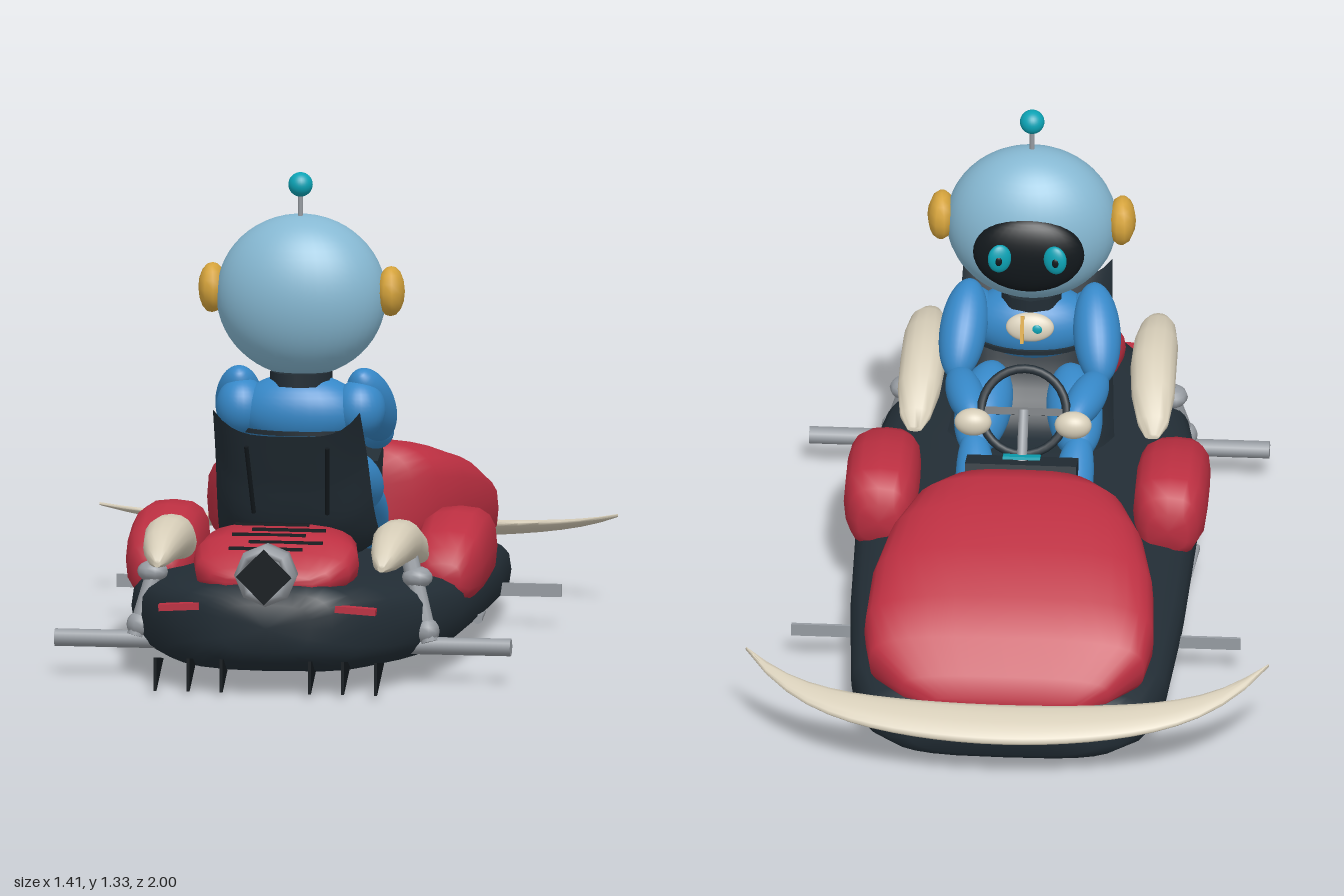
import * as THREE from 'three';
import { toCreasedNormals } from 'three/addons/utils/BufferGeometryUtils.js';
import { ParametricGeometry } from 'three/addons/geometries/ParametricGeometry.js';

const V = (x, y, z) => new THREE.Vector3(x, y, z);

// Closed body through rounded sections [z, centreX, halfWidth, bottomY, topY]; power < 1 is boxier
function loft(sections, power = 0.7, sides = 20, crease = 0.8) {
  const pos = [], idx = [];
  const bend = (v) => Math.sign(v) * Math.abs(v) ** power;
  for (const [z, cx, hw, y0, y1] of sections) {
    for (let j = 0; j < sides; j++) {
      const a = (j / sides) * Math.PI * 2;
      pos.push(cx + hw * bend(Math.cos(a)), (y0 + y1) / 2 + ((y1 - y0) / 2) * bend(Math.sin(a)), z);
    }
  }
  const n = sections.length;
  for (const [z, cx, , y0, y1] of [sections[0], sections[n - 1]]) pos.push(cx, (y0 + y1) / 2, z);
  for (let j = 0; j < sides; j++) {
    const k = (j + 1) % sides;
    for (let i = 0; i < n - 1; i++) {
      const a = i * sides + j, b = i * sides + k;
      idx.push(a, b, a + sides, b, b + sides, a + sides);
    }
    idx.push(n * sides, k, j, n * sides + 1, (n - 1) * sides + j, (n - 1) * sides + k);
  }
  const g = new THREE.BufferGeometry();
  g.setAttribute('position', new THREE.Float32BufferAttribute(pos, 3));
  g.setIndex(idx);
  return toCreasedNormals(g, crease);
}

export function createModel() {
  const model = new THREE.Group();
  model.name = 'hoverKartWithRobot';
  const mat = (name, color, side = THREE.FrontSide) => {
    const m = new THREE.MeshStandardMaterial({ color, side });
    m.name = name;
    return m;
  };
  const charcoal = mat('charcoal', 0x222d35, THREE.DoubleSide), black = mat('black', 0x12181c, THREE.DoubleSide);
  const red = mat('red', 0xbc2f41), cream = mat('cream', 0xd6cdb8), blue = mat('blue', 0x3688c8);
  const paleBlue = mat('paleBlue', 0x86b8d2), teal = mat('teal', 0x0ca3b5);
  const yellow = mat('yellow', 0xd6a43c), grey = mat('grey', 0x969ba1);

  const add = (name, geo, m, x = 0, y = 0, z = 0) => {
    const mesh = new THREE.Mesh(geo, m);
    mesh.name = name;
    mesh.position.set(x, y, z);
    model.add(mesh);
    return mesh;
  };
  const ball = (name, m, x, y, z, rx, ry = rx, rz = rx, w = 28, h = 20) => {
    const mesh = add(name, new THREE.SphereGeometry(1, w, h), m, x, y, z);
    mesh.scale.set(rx, ry, rz);
    return mesh;
  };
  const aim = (mesh, a, b) => {
    mesh.position.copy(a).lerp(b, 0.5);
    mesh.quaternion.setFromUnitVectors(V(0, 1, 0), b.clone().sub(a).normalize());
    return mesh;
  };
  const rod = (name, m, a, b, r, r2 = r) => aim(add(name, new THREE.CylinderGeometry(r2, r, a.distanceTo(b), 10), m), a, b);
  const limb = (name, m, a, b, r) => aim(ball(name, m, 0, 0, 0, r, a.distanceTo(b) / 2, r), a, b);

  // Hull, bonnet and engine cover
  add('hull', loft([
    [-0.86, 0, 0.26, 0.03, 0.17], [-0.84, 0, 0.32, 0.01, 0.19], [-0.78, 0, 0.38, 0.0, 0.2], [-0.65, 0, 0.425, 0.005, 0.215],
    [-0.3, 0, 0.45, 0.025, 0.235], [0.1, 0, 0.46, 0.04, 0.25], [0.4, 0, 0.45, 0.035, 0.27], [0.6, 0, 0.41, 0.035, 0.285],
    [0.8, 0, 0.33, 0.045, 0.3], [0.9, 0, 0.25, 0.06, 0.3], [0.95, 0, 0.18, 0.09, 0.28], [0.97, 0, 0.12, 0.12, 0.25],
  ], 0.6, 28), charcoal);
  add('bonnet', loft([
    [-0.85, 0, 0.2, 0.15, 0.2], [-0.82, 0, 0.28, 0.15, 0.25], [-0.75, 0, 0.37, 0.15, 0.33], [-0.65, 0, 0.39, 0.15, 0.4],
    [-0.5, 0, 0.38, 0.16, 0.465], [-0.35, 0, 0.345, 0.18, 0.505], [-0.23, 0, 0.29, 0.2, 0.52], [-0.17, 0, 0.23, 0.22, 0.51],
    [-0.15, 0, 0.17, 0.26, 0.48],
  ], 0.6, 32, 1), red);
  add('engineCover', loft([
    [0.66, 0, 0.18, 0.26, 0.41], [0.69, 0, 0.21, 0.26, 0.43], [0.77, 0, 0.225, 0.26, 0.41], [0.84, 0, 0.21, 0.26, 0.375],
    [0.89, 0, 0.165, 0.27, 0.34], [0.91, 0, 0.12, 0.28, 0.32],
  ], 0.65, 24, 1), red);
  [[0.71, 0.43], [0.74, 0.42], [0.77, 0.41], [0.8, 0.395], [0.83, 0.381]].forEach(([z, y], i) =>
    add('ventSlot', new THREE.BoxGeometry(0.2, 0.008, 0.009), black, i % 2 ? 0.03 : -0.02, y, z));

  // Exhaust: flared pipe, rim and dark opening
  rod('exhaustPipe', grey, V(0, 0.33, 0.83), V(0, 0.33, 0.93), 0.035, 0.07);
  const rim = add('exhaustRim', new THREE.LatheGeometry(
    [[0.045, 0.92], [0.082, 0.92], [0.085, 0.97], [0.072, 1.0], [0.058, 0.995], [0.05, 0.95]].map((p) => new THREE.Vector2(...p)), 8), grey, 0, 0.33);
  rim.rotation.x = Math.PI / 2;
  add('exhaustOpening', new THREE.CircleGeometry(0.076, 4), black, 0, 0.33, 1.0);

  // Swept bumper blade: crescent in plan, rising toward its tips
  const blade = [];
  for (let i = -12; i <= 12; i++) {
    const t = i / 12, outer = 1 - 0.15 * t * t - 0.13 * t ** 6;
    const half = 0.003 + 0.058 * (1 - t * t) ** 0.7, thick = 0.004 + 0.018 * (1 - t * t);
    blade.push([t * 0.705, outer - half, half, 0.15 - thick, 0.15 + thick]);
  }
  const bumper = loft(blade, 1, 14, 1.2).rotateY(Math.PI / 2);
  const p = bumper.attributes.position;
  for (let i = 0; i < p.count; i++) p.setY(i, p.getY(i) + (p.getZ(i) + 1) * 0.36);
  bumper.computeVertexNormals();
  add('bumper', toCreasedNormals(bumper, 1.2), cream);

  // Seat shell with curled sides and a dipped top edge
  const line = new THREE.CatmullRomCurve3([V(0, 0.28, 0.28), V(0, 0.29, 0.39), V(0, 0.37, 0.48), V(0, 0.52, 0.54), V(0, 0.65, 0.59)]);
  add('seat', new ParametricGeometry((u, v, out) => {
    const s = u * 2 - 1, c = line.getPoint(v), e = s ** 4;
    out.set(s * (0.225 - 0.025 * v), c.y + 0.07 * e, c.z - 0.055 * e * Math.sin(v * Math.PI));
  }, 16, 16), charcoal);
  for (const s of [-1, 1]) rod('seatSeam', black, V(s * 0.11, 0.62, 0.585), V(s * 0.1, 0.43, 0.515), 0.006);

  // Dashboard and steering
  const dash = add('dashboard', new THREE.BoxGeometry(0.3, 0.13, 0.1), charcoal, 0, 0.44, -0.13);
  dash.rotation.x = 0.3;
  const display = add('display', new THREE.BoxGeometry(0.1, 0.008, 0.05), teal, 0, 0.512, -0.105);
  display.rotation.x = 0.3;
  rod('steeringColumn', grey, V(0, 0.46, -0.13), V(0, 0.61, -0.025), 0.014);
  const wheel = add('steeringWheel', new THREE.TorusGeometry(0.115, 0.012, 10, 32), charcoal, 0, 0.605, -0.025);
  wheel.rotation.x = 0.57;
  const spoke = add('wheelSpoke', new THREE.BoxGeometry(0.22, 0.02, 0.012), charcoal, 0, 0.605, -0.025);
  spoke.rotation.x = 0.57;

  // Driver: head, torso and badge
  ball('head', paleBlue, 0, 0.995, 0.32, 0.23, 0.22, 0.165, 40, 28);
  ball('visor', black, 0, 0.975, 0.185, 0.15, 0.115, 0.055);
  rod('antenna', grey, V(0, 1.2, 0.335), V(0, 1.28, 0.335), 0.007);
  ball('antennaTip', teal, 0, 1.298, 0.335, 0.033);
  rod('neck', charcoal, V(0, 0.755, 0.325), V(0, 0.79, 0.325), 0.085);
  ball('torso', blue, 0, 0.68, 0.33, 0.17, 0.105, 0.1);
  const belt = add('belt', new THREE.CylinderGeometry(1, 1, 0.012, 28), charcoal, 0, 0.632, 0.33);
  belt.scale.set(0.16, 1, 0.1);
  const badge = ball('chestBadge', cream, 0, 0.71, 0.24, 0.065, 0.04, 0.02);
  badge.rotation.x = 0.35;
  add('badgeStripe', new THREE.BoxGeometry(0.01, 0.075, 0.009), yellow, 0.02, 0.712, 0.22).rotation.x = 0.35;
  ball('badgeLight', teal, -0.02, 0.712, 0.223, 0.014, 0.014, 0.006);

  // Mirrored parts
  const finShape = new THREE.Shape([[-0.97, 0.1], [-0.97, 0.01], [-0.84, 0.08]].map((q) => new THREE.Vector2(...q)));
  for (const s of [-1, 1]) {
    // Face and limbs
    const eye = ball('eye', teal, s * 0.075, 0.99, 0.128, 0.032, 0.042, 0.018);
    eye.rotation.y = s * 0.25;
    ball('pupil', black, s * 0.077, 0.99, 0.112, 0.01, 0.014, 0.005);
    ball('ear', yellow, s * 0.243, 1.01, 0.315, 0.038, 0.068, 0.068, 10, 8);
    ball('shoulder', blue, s * 0.16, 0.69, 0.33, 0.07, 0.08, 0.075);
    limb('upperArm', blue, V(s * 0.165, 0.79, 0.35), V(s * 0.195, 0.59, 0.15), 0.064);
    limb('forearm', blue, V(s * 0.195, 0.6, 0.19), V(s * 0.13, 0.587, -0.05), 0.05);
    ball('hand', cream, s * 0.135, 0.585, -0.055, 0.05, 0.038, 0.035);
    limb('thigh', blue, V(s * 0.1, 0.54, 0.33), V(s * 0.145, 0.41, 0.07), 0.075);
    limb('shin', blue, V(s * 0.145, 0.46, 0.13), V(s * 0.11, 0.24, -0.19), 0.056);

    // Side pods and rear fenders
    add('sidePod', loft([
      [-0.07, s * 0.39, 0.055, 0.21, 0.32], [-0.045, s * 0.39, 0.08, 0.18, 0.36], [0.02, s * 0.39, 0.098, 0.17, 0.385],
      [0.15, s * 0.39, 0.1, 0.16, 0.39], [0.27, s * 0.39, 0.095, 0.16, 0.355], [0.34, s * 0.39, 0.075, 0.17, 0.32],
      [0.37, s * 0.39, 0.05, 0.2, 0.28],
    ], 0.7, 16, 1), red);
    add('rearFender', loft([
      [0.38, s * 0.32, 0.02, 0.285, 0.3], [0.42, s * 0.32, 0.042, 0.285, 0.335], [0.5, s * 0.315, 0.058, 0.295, 0.395],
      [0.6, s * 0.31, 0.062, 0.315, 0.435], [0.7, s * 0.31, 0.06, 0.325, 0.44], [0.8, s * 0.31, 0.048, 0.325, 0.42],
      [0.87, s * 0.307, 0.03, 0.33, 0.385], [0.9, s * 0.305, 0.01, 0.335, 0.355],
    ], 0.9, 16, 1), cream);

    // Running gear
    rod('rearAxle', grey, V(s * 0.33, 0.1, 0.65), V(s * 0.62, 0.1, 0.65), 0.024);
    rod('strut', grey, V(s * 0.4, 0.11, 0.66), V(s * 0.33, 0.36, 0.6), 0.024);
    ball('strutJoint', grey, s * 0.39, 0.14, 0.65, 0.036, 0.036, 0.036, 10, 8);
    ball('strutTop', grey, s * 0.36, 0.28, 0.615, 0.042, 0.03, 0.042, 10, 8);
    add('frontStub', new THREE.BoxGeometry(0.17, 0.035, 0.009), grey, s * 0.52, 0.1, -0.36);
    add('sideTrim', new THREE.ConeGeometry(0.014, 0.16, 6), grey, s * 0.452, 0.095, 0.06).rotation.x = -Math.PI / 2;

    // Tail lights and fins
    const light = add('tailLight', new THREE.BoxGeometry(0.11, 0.018, 0.03), red, s * 0.24, 0.235, 0.93);
    light.rotation.z = s * -0.06;
    for (const x of [0.12, 0.21, 0.3]) {
      const fin = add('tailFin', new THREE.ExtrudeGeometry(finShape, { depth: 0.008, bevelEnabled: false }), black, s * x - 0.004);
      fin.rotation.y = Math.PI / 2;
    }
  }
  return model;
}
